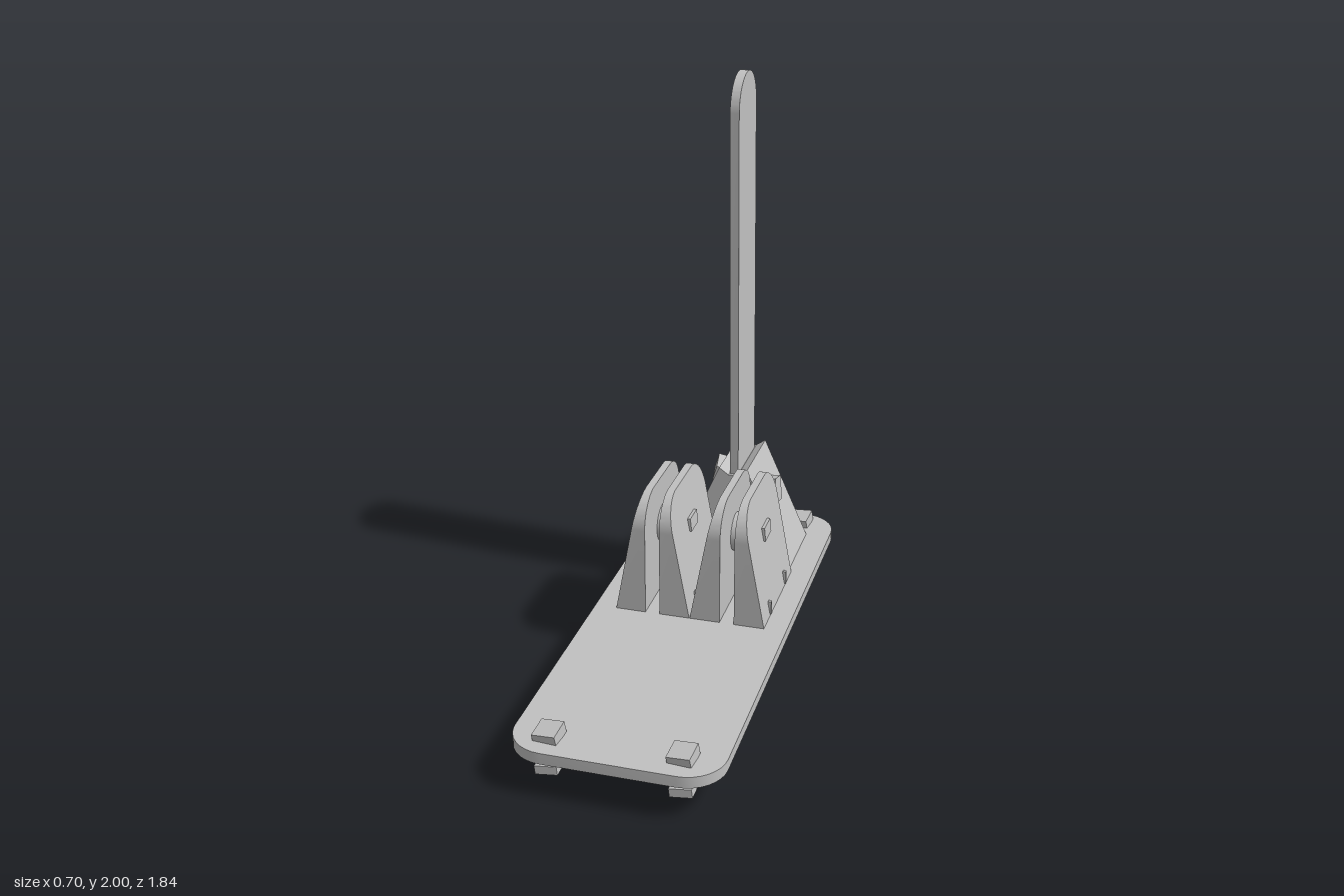
import * as THREE from 'three';
import { toCreasedNormals } from 'three/addons/utils/BufferGeometryUtils.js';

const grey = new THREE.MeshStandardMaterial({ color: 0xc0c0c0 });
grey.name = 'plain grey';

function add(parent, name, geometry, x = 0, y = 0, z = 0, rx = 0, ry = 0, rz = 0) {
  const mesh = new THREE.Mesh(geometry, grey);
  mesh.name = name;
  mesh.position.set(x, y, z);
  mesh.rotation.set(rx, ry, rz);
  parent.add(mesh);
  return mesh;
}

// Rounded rectangle ring, starting at +x and turning towards +z
function ring(y, hx, hz, r) {
  const points = [];
  const corners = [[1, 1], [-1, 1], [-1, -1], [1, -1]];
  corners.forEach(([sx, sz], c) => {
    for (let i = 0; i <= 8; i++) {
      const a = (c + i / 8) * Math.PI / 2;
      points.push([sx * (hx - r) + r * Math.cos(a), y, sz * (hz - r) + r * Math.sin(a)]);
    }
  });
  return points;
}

// Deck with a vertical rim and a belly that curves in to a flat bottom
function deckGeometry() {
  const rings = [
    ring(0.165, 0.35, 0.92, 0.13), ring(0.125, 0.35, 0.92, 0.13),
    ring(0.085, 0.30, 0.865, 0.11), ring(0.045, 0.24, 0.805, 0.10),
    ring(0.015, 0.18, 0.745, 0.09), ring(0.0, 0.11, 0.68, 0.08),
  ];
  const v = [];
  const n = rings[0].length;
  for (let j = 0; j < n; j++) {
    const k = (j + 1) % n;
    for (let i = 0; i + 1 < rings.length; i++) {
      const [a, b, c, d] = [rings[i][j], rings[i][k], rings[i + 1][j], rings[i + 1][k]];
      v.push(...a, ...b, ...c, ...b, ...d, ...c);
    }
    const last = rings[rings.length - 1];
    v.push(0, 0.165, 0, ...rings[0][k], ...rings[0][j]);
    v.push(0, 0, 0, ...last[j], ...last[k]);
  }
  const g = new THREE.BufferGeometry();
  g.setAttribute('position', new THREE.Float32BufferAttribute(v, 3));
  return toCreasedNormals(g, 0.5);
}

// Round-topped slab: upright on one face, thicker towards its foot on the other
function padGeometry() {
  const h = 0.217, r = 0.12, top = 0.605, foot = 0.16;
  const s = new THREE.Shape();
  s.moveTo(-h, foot);
  s.lineTo(h, foot);
  s.lineTo(h, top - r);
  s.absarc(h - r, top - r, r, 0, Math.PI / 2);
  s.absarc(-h + r, top - r, r, Math.PI / 2, Math.PI);
  s.closePath();
  const g = new THREE.ExtrudeGeometry(s, { depth: 1, bevelEnabled: false, curveSegments: 10 });
  g.rotateY(Math.PI / 2);
  const p = g.attributes.position;
  for (let i = 0; i < p.count; i++) {
    const t = (top - p.getY(i)) / (top - foot);
    p.setX(i, p.getX(i) * (0.027 + 0.083 * t));
  }
  return toCreasedNormals(g, 0.5);
}

// Tall round-ended blade leaning slightly forward
function bladeGeometry() {
  const s = new THREE.Shape();
  s.moveTo(0.481, 0.3);
  s.lineTo(0.735, 0.3);
  s.lineTo(0.669, 1.88);
  s.absarc(0.548, 1.88, 0.121, 0, Math.PI);
  s.closePath();
  const g = new THREE.ExtrudeGeometry(s, { depth: 0.032, bevelEnabled: false, curveSegments: 24 });
  g.rotateY(Math.PI / 2);
  return toCreasedNormals(g, 0.5);
}

// Sloped holder with a notch under it and a shallow dip on top
function holderGeometry() {
  const outline = [
    [-0.18, 0.165], [-0.03, 0.165], [0.04, 0.27], [0.11, 0.165], [0.26, 0.165],
    [0.09, 0.545], [0.055, 0.52], [0.02, 0.52], [-0.015, 0.545],
  ];
  const s = new THREE.Shape(outline.map(([x, y]) => new THREE.Vector2(x, y)));
  return new THREE.ExtrudeGeometry(s, { depth: 0.29, bevelEnabled: false });
}

export function createModel() {
  const model = new THREE.Group();
  model.name = 'standOnDeck';
  add(model, 'deck', deckGeometry());

  // Two pairs of facing pads, each joined by a short axle
  const pad = padGeometry();
  const axle = new THREE.CylinderGeometry(0.07, 0.07, 0.07, 24);
  const peg = new THREE.BoxGeometry(0.012, 0.05, 0.012);
  const tab = new THREE.BoxGeometry(0.014, 0.05, 0.085);
  for (const side of [1, -1]) {
    const pair = new THREE.Group();
    pair.name = side > 0 ? 'leftPadPair' : 'rightPadPair';
    pair.position.z = -0.22;
    pair.rotation.y = side > 0 ? 0 : Math.PI;
    model.add(pair);
    add(pair, 'outerPad', pad, 0.162);
    add(pair, 'innerPad', pad, 0.11, 0, 0, 0, Math.PI);
    add(pair, 'axle', axle, 0.136, 0.42, 0, 0, 0, Math.PI / 2);
    add(pair, 'outerTab', tab, 0.222, 0.44, 0, 0, 0, 0.1);
    add(pair, 'innerTab', tab, 0.05, 0.44, 0, 0, 0, -0.1);
    for (const z of [-0.115, 0.115]) {
      add(pair, 'outerPeg', peg, 0.268, 0.195, z);
      add(pair, 'innerPeg', peg, 0.004, 0.195, z);
    }
  }

  // Blade and its holder, with a block on each slope
  add(model, 'holder', holderGeometry(), 0, 0, -0.75);
  add(model, 'blade', bladeGeometry(), 0.022);
  const block = new THREE.BoxGeometry(0.05, 0.09, 0.09);
  add(model, 'leftHolderBlock', block, 0.153, 0.41, -0.61, -0.25, 0, 0.15);
  add(model, 'rightHolderBlock', new THREE.BoxGeometry(0.03, 0.06, 0.09), -0.055, 0.47, -0.62, 0.15, 0.15, -0.3);

  // Tilted blocks on top of the corners and small feet below them
  const cornerBlock = new THREE.BoxGeometry(0.08, 0.04, 0.08);
  const foot = new THREE.BoxGeometry(0.075, 0.03, 0.05);
  for (const x of [-0.223, 0.215]) {
    for (const z of [0.825, -0.84]) {
      add(model, 'cornerBlock', cornerBlock, x, 0.178, z, 0.15, -0.08, 0.12);
      add(model, 'cornerFoot', foot, x + 0.01, 0.083, Math.sign(z) * 0.865, 0, 0, 0.12);
    }
  }
  return model;
}
